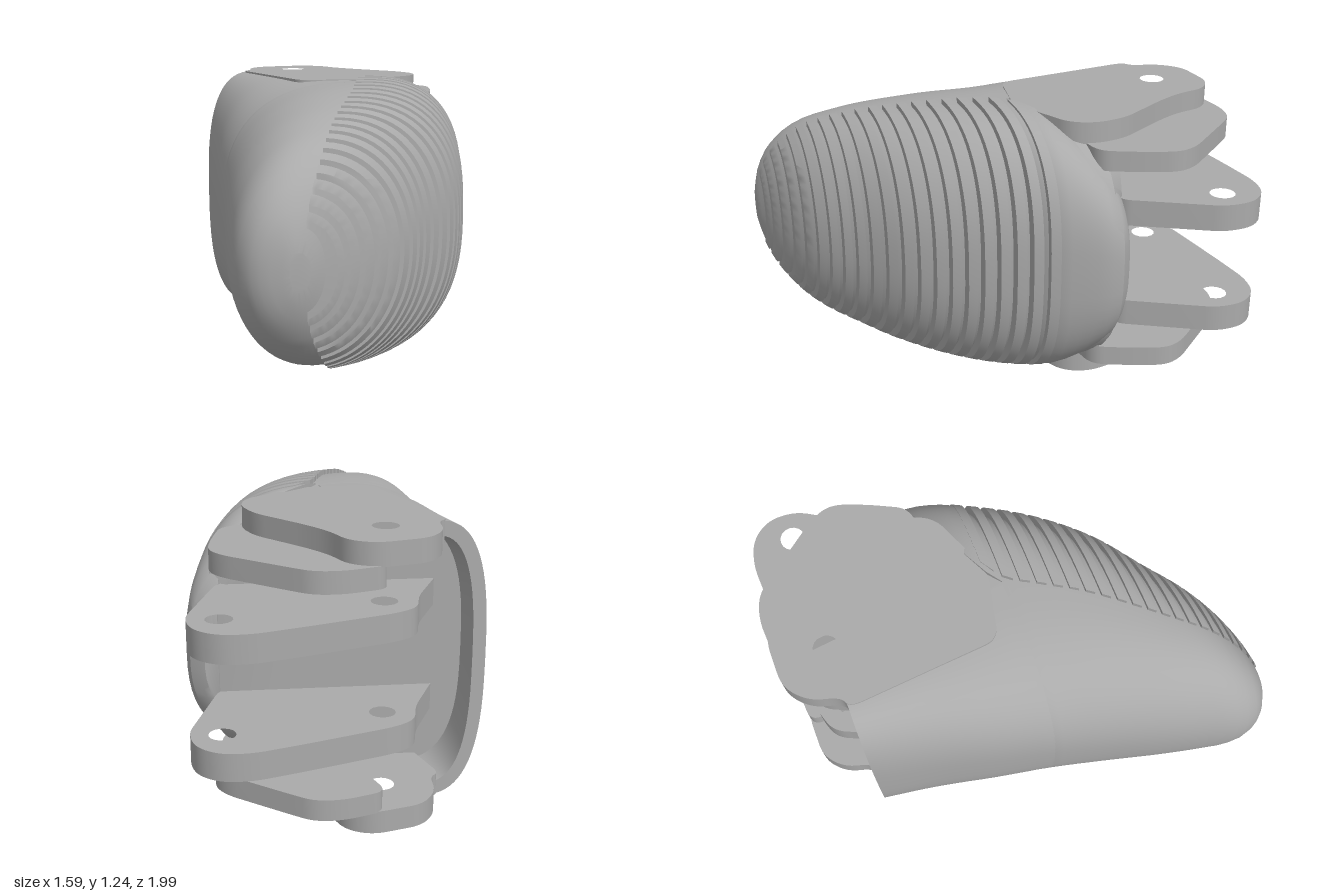
import * as THREE from 'three';
import { toCreasedNormals } from 'three/addons/utils/BufferGeometryUtils.js';

const MID = 0.628; // height of the horizontal symmetry plane

// Smooth curve through [z, value] pairs listed by rising z
function curve(pairs) {
  const f = new THREE.CubicInterpolant(pairs.map(p => p[0]), pairs.map(p => p[1]), 1);
  return z => f.evaluate(THREE.MathUtils.clamp(z, pairs[0][0], pairs[pairs.length - 1][0]))[0];
}

// Cross-section rules along z: outer side, pad side, crown line, half height, squareness
const outerX = curve([[-0.76, -0.46], [-0.5, -0.505], [-0.25, -0.56], [0, -0.61], [0.25, -0.67], [0.5, -0.735],
  [0.7, -0.78], [0.8, -0.797], [0.9, -0.78], [0.96, -0.725], [0.995, -0.64]]);
const padX = curve([[-0.36, 0.64], [-0.32, 0.685], [-0.27, 0.695], [-0.15, 0.65], [-0.02, 0.585], [0.29, 0.43],
  [0.5, 0.27], [0.64, 0.1], [0.83, -0.13], [0.945, -0.36], [0.995, -0.51]]);
const crownX = curve([[-0.76, -0.2], [-0.3, -0.08], [0, 0.02], [0.3, -0.12], [0.5, -0.26], [0.7, -0.4],
  [0.9, -0.54], [0.995, -0.61]]);
const halfH = curve([[-0.76, 0.602], [-0.3, 0.602], [0, 0.6], [0.2, 0.588], [0.4, 0.555], [0.6, 0.503],
  [0.8, 0.415], [0.9, 0.315], [0.95, 0.23], [0.98, 0.15], [0.995, 0.075]]);
const edgeX = curve([[-0.1, 0.2], [0, 0.05], [0.13, -0.03], [0.32, -0.13], [0.58, -0.3], [0.87, -0.49], [0.98, -0.58]]);
const power = z => THREE.MathUtils.lerp(2.8, 2.1, THREE.MathUtils.clamp((z + 0.1) / 0.9, 0, 1));

// Squared oval in the xy plane, optionally cut off on its left at x = cut
function section(z, { left, right, crown = crownX(z), h, cut = -9, from = 0, to = Math.PI * 2, count = 72, closed = true }) {
  const n = power(z), pts = [];
  const total = closed ? count : count + 1;
  const span = cut > crown ? right - crown : crown - left;
  const cutY = h * Math.pow(Math.max(0, 1 - Math.pow(Math.abs(cut - crown) / span, n)), 1 / n);
  for (let i = 0; i < total; i++) {
    const a = from + (to - from) * i / count, c = Math.cos(a), s = Math.sin(a);
    let x = crown + (c > 0 ? right - crown : crown - left) * Math.sign(c) * Math.pow(Math.abs(c), 2 / n);
    let y = h * Math.sign(s) * Math.pow(Math.abs(s), 2 / n);
    if (x < cut) {
      x = cut;
      y = Math.sign(y) * Math.min(Math.abs(y), cutY);
    }
    pts.push(new THREE.Vector3(x, MID + y, z));
  }
  return pts;
}

// Skin over closed rings listed front to back, with both ends capped
function loft(rings, crease = 0.6) {
  const n = rings[0].length, pos = [], index = [];
  rings.forEach(r => r.forEach(p => pos.push(p.x, p.y, p.z)));
  for (let i = 0; i < rings.length - 1; i++) {
    for (let j = 0; j < n; j++) {
      const a = i * n + j, b = i * n + (j + 1) % n;
      index.push(a, a + n, b, b, a + n, b + n);
    }
  }
  const cap = (ring, base, flip) => {
    const flat = ring.map(p => new THREE.Vector2(p.x, p.y));
    for (const [a, b, c] of THREE.ShapeUtils.triangulateShape(flat, [])) {
      const area = (flat[b].x - flat[a].x) * (flat[c].y - flat[a].y) - (flat[b].y - flat[a].y) * (flat[c].x - flat[a].x);
      if ((area > 0) !== flip) index.push(base + a, base + b, base + c);
      else index.push(base + a, base + c, base + b);
    }
  };
  cap(rings[0], 0, false);
  cap(rings[rings.length - 1], (rings.length - 1) * n, true);
  const g = new THREE.BufferGeometry();
  g.setAttribute('position', new THREE.Float32BufferAttribute(pos, 3));
  g.setIndex(index);
  return toCreasedNormals(g, crease);
}

// Flat plate from an [x, z] outline with softened corners and round holes
function plate(points, radius, y0, thickness, holes) {
  const p = points.map(([x, z]) => new THREE.Vector2(x, -z));
  const shape = new THREE.Shape();
  p.forEach((c, i) => {
    const prev = p[(i + p.length - 1) % p.length], next = p[(i + 1) % p.length];
    const toward = q => c.clone().lerp(q, Math.min(0.48, radius / c.distanceTo(q)));
    const a = toward(prev), b = toward(next);
    if (i) shape.lineTo(a.x, a.y); else shape.moveTo(a.x, a.y);
    shape.quadraticCurveTo(c.x, c.y, b.x, b.y);
  });
  shape.closePath();
  for (const [x, z] of holes) {
    shape.holes.push(new THREE.Path().absarc(x, -z, 0.055, 0, Math.PI * 2, true));
  }
  const g = new THREE.ExtrudeGeometry(shape, { depth: thickness, bevelEnabled: false, curveSegments: 8 });
  g.rotateX(-Math.PI / 2).translate(0, y0, 0);
  return toCreasedNormals(g, 0.5);
}

export function createModel() {
  const model = new THREE.Group();
  model.name = 'fingertip';
  const grey = new THREE.MeshStandardMaterial({ color: 0xaaaaaa });
  grey.name = 'grey plastic';
  const add = (name, geometry) => {
    const mesh = new THREE.Mesh(geometry, grey);
    mesh.name = name;
    model.add(mesh);
  };

  // Solid rounded body, ending in a slanted floor inside the rear socket
  const zs = [0.995, 0.985, 0.97, 0.95, 0.925, 0.9];
  for (let z = 0.85; z > -0.32; z -= 0.05) zs.push(z);
  const bodyRings = zs.map(z => section(z, {
    left: outerX(z) + (z < -0.02 ? 0.02 : 0), right: padX(z) - 0.045, h: halfH(z) - (z < -0.02 ? 0.006 : 0),
  }));
  const floor = section(-0.34, { left: -0.47, right: 0.58, h: 0.585 });
  floor.forEach(p => { p.z = -0.35 - 0.23 * (0.58 - p.x); });
  bodyRings.push(floor);
  add('body', loft(bodyRings));

  // Thin curved wall round the rear socket
  const wallRings = [];
  for (let i = 0; i <= 12; i++) {
    const z = 0.02 - 0.78 * i / 12;
    const arc = inset => section(z, {
      left: outerX(z) + inset, right: 0.5, h: halfH(z) - inset,
      from: Math.PI / 2, to: Math.PI * 1.5, count: 36, closed: false,
    });
    wallRings.push([...arc(0), ...arc(0.06).reverse()]);
  }
  add('socketWall', loft(wallRings));

  // Grip ribs, closer together toward the tip
  const ribs = 21;
  const ribZ = t => 0.975 - 1.06 * Math.pow(t, 1.3);
  for (let i = 0; i < ribs; i++) {
    const rings = [ribZ(i / ribs), ribZ((i + 0.58) / ribs)].map(z => section(z, {
      left: outerX(z), right: padX(z) + 0.005, h: halfH(z) + 0.022, cut: edgeX(z) + 0.01,
    }));
    add('gripRib', loft(rings));
  }

  // Smooth rim closing the back of the grip pad: z, cut, half height
  const rim = [[0.0, 0.03, 0.608], [-0.05, 0.09, 0.62], [-0.1, 0.19, 0.615], [-0.15, 0.31, 0.595], [-0.2, 0.42, 0.565],
    [-0.26, 0.51, 0.515], [-0.31, 0.55, 0.47], [-0.345, 0.57, 0.43], [-0.36, 0.58, 0.39]];
  add('padRim', loft(rim.map(([z, cut, h]) => section(z, {
    left: -0.5, right: padX(z) - (z > -0.02 ? 0.04 : 0), crown: 0.02, h, cut,
  }))));

  // Hinge plates, mirrored above and below the middle
  const pinA = [0, -0.77], pinB = [0.67, -0.77];
  const outer = [[-0.27, -0.755], [-0.22, -0.775], [-0.19, -0.9], [-0.1, -0.985], [0.12, -0.99], [0.21, -0.92],
    [0.235, -0.78], [0.29, -0.66], [0.43, -0.42], [0.45, -0.28], [0.4, -0.17], [0.1, -0.04], [-0.2, -0.1]];
  const step = [[0.06, -0.985], [0.25, -1.0], [0.36, -0.97], [0.43, -0.89], [0.63, -0.65], [0.66, -0.56],
    [0.61, -0.42], [0.53, -0.25], [0.1, -0.2], [0.1, -0.7]];
  const lug = [[0, -0.92], [0.38, -0.955], [0.6, -0.97], [0.72, -0.94], [0.795, -0.85], [0.795, -0.72],
    [0.57, -0.33], [-0.35, -0.5], [-0.15, -0.76], [-0.1, -0.88]];
  const pair = (name, outline, y0, t, holes) => {
    add(name + 'Upper', plate(outline, 0.06, y0, t, holes));
    add(name + 'Lower', plate(outline, 0.06, 2 * MID - y0 - t, t, holes));
  };
  pair('outerHingePlate', outer, 1.135, 0.097, [pinA]);
  pair('steppedHingePlate', step, 1.05, 0.09, []);
  pair('innerHingeLug', lug, 0.808, 0.117, [pinA, pinB]);

  return model;
}
